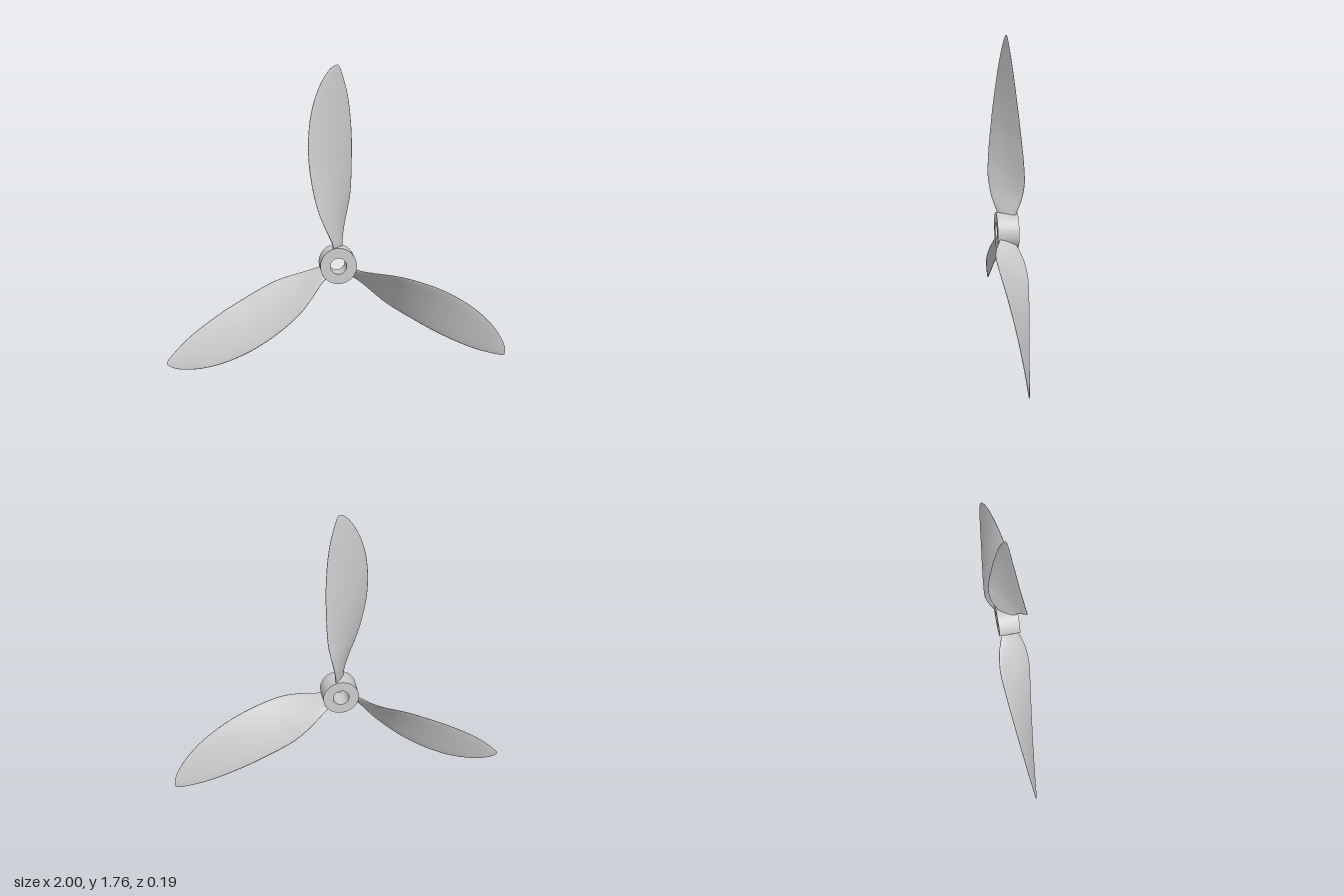
import * as THREE from 'three';
import { toCreasedNormals } from 'three/addons/utils/BufferGeometryUtils.js';

const HUB_Y = 0.615;
const BLADES = 3;

// Blade stations: [radius, left edge x, right edge x, half depth z, half thickness]
const STATIONS = [
  [0.085, -0.027, 0.027, 0.045, 0.014],
  [0.125, -0.034, 0.031, 0.06, 0.014],
  [0.185, -0.06, 0.041, 0.08, 0.013],
  [0.235, -0.083, 0.051, 0.09, 0.012],
  [0.305, -0.112, 0.067, 0.097, 0.012],
  [0.385, -0.136, 0.081, 0.093, 0.011],
  [0.485, -0.156, 0.087, 0.084, 0.011],
  [0.585, -0.169, 0.088, 0.073, 0.01],
  [0.685, -0.173, 0.088, 0.062, 0.01],
  [0.785, -0.168, 0.083, 0.05, 0.009],
  [0.885, -0.153, 0.074, 0.038, 0.008],
  [0.985, -0.124, 0.058, 0.026, 0.007],
  [1.065, -0.087, 0.037, 0.015, 0.005],
  [1.115, -0.053, 0.021, 0.008, 0.004],
  [1.14, -0.025, 0.01, 0.004, 0.002],
  [1.15, 0, 0, 0, 0],
];

// Twisted blade lofted along +y from thin elliptical sections
function bladeGeometry(rows = 75, cols = 28) {
  const curve = (pick) => new THREE.CatmullRomCurve3(
    STATIONS.map((s) => new THREE.Vector3(...pick(s))), false, 'catmullrom');
  const outline = curve(([, left, right, depth]) => [left, right, depth]);
  const spine = curve(([r, , , , thick]) => [r, thick, 0]);
  const positions = [];
  const index = [];
  for (let i = 0; i <= rows; i++) {
    const { x: left, y: right, z: depth } = outline.getPoint(i / rows);
    const { x: r, y: thick } = spine.getPoint(i / rows);
    const mid = (left + right) / 2;
    const half = (right - left) / 2;
    const length = Math.hypot(half, depth) || 1;
    for (let j = 0; j < cols; j++) {
      const a = (j / cols) * Math.PI * 2;
      const u = Math.cos(a);
      const v = (Math.sin(a) * thick) / length;
      positions.push(mid + u * half + v * depth, r, -u * depth + v * half);
      if (i < rows) {
        const p = i * cols + j;
        const q = i * cols + ((j + 1) % cols);
        index.push(p, p + cols, q, q, p + cols, q + cols);
      }
    }
  }
  const geometry = new THREE.BufferGeometry();
  geometry.setAttribute('position', new THREE.Float32BufferAttribute(positions, 3));
  geometry.setIndex(index);
  geometry.computeVertexNormals();
  return geometry;
}

// Short cylinder with a through bore along z
function hubGeometry() {
  const ring = new THREE.Shape().absarc(0, 0, 0.105, 0, Math.PI * 2, false);
  ring.holes.push(new THREE.Path().absarc(0, 0, 0.047, 0, Math.PI * 2, true));
  const geometry = new THREE.ExtrudeGeometry(ring, {
    depth: 0.124, bevelEnabled: false, curveSegments: 48,
  });
  geometry.translate(0, 0, -0.063);
  return toCreasedNormals(geometry, 0.6);
}

export function createModel() {
  const material = new THREE.MeshStandardMaterial({ color: 0xcccccc });
  const propeller = new THREE.Group();
  propeller.name = 'propeller';

  const hub = new THREE.Mesh(hubGeometry(), material);
  hub.name = 'hub';
  hub.position.y = HUB_Y;
  propeller.add(hub);

  const geometry = bladeGeometry();
  for (let k = 0; k < BLADES; k++) {
    const blade = new THREE.Mesh(geometry, material);
    blade.name = `blade${k + 1}`;
    blade.position.y = HUB_Y;
    blade.rotation.z = (k * Math.PI * 2) / BLADES;
    propeller.add(blade);
  }
  return propeller;
}
